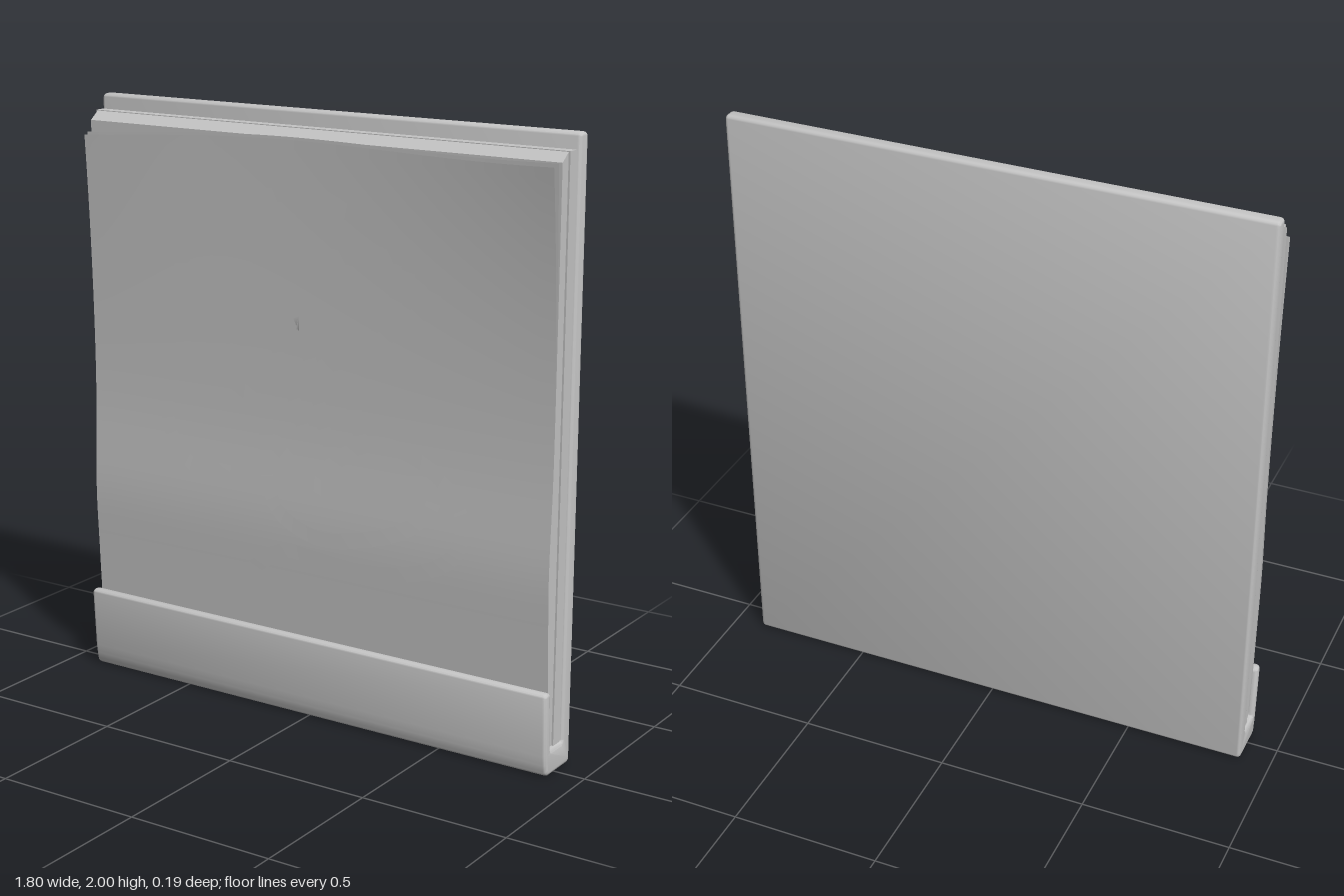
import * as THREE from 'three';
import { toCreasedNormals } from 'three/addons/utils/BufferGeometryUtils.js';

const grey = new THREE.MeshStandardMaterial({ color: 0xc4c4c4, side: THREE.DoubleSide });
grey.name = 'plain grey';

// Outline of [z, y, cornerRadius] points with softened corners
function roundedShape(points) {
  const shape = new THREE.Shape();
  const n = points.length;
  points.forEach(([z, y, r], i) => {
    const p = new THREE.Vector2(z, y);
    const toward = (q) => new THREE.Vector2(q[0], q[1]).sub(p).setLength(r).add(p);
    const a = toward(points[(i + n - 1) % n]);
    const b = toward(points[(i + 1) % n]);
    if (i === 0) shape.moveTo(a.x, a.y);
    else shape.lineTo(a.x, a.y);
    if (r > 0) shape.quadraticCurveTo(p.x, p.y, b.x, b.y);
  });
  shape.closePath();
  return shape;
}

// Extrude a side profile across the whole width (x)
function acrossWidth(name, points, width, bevel) {
  const geo = new THREE.ExtrudeGeometry(roundedShape(points), {
    depth: width - 2 * bevel, curveSegments: 5, bevelEnabled: bevel > 0,
    bevelThickness: bevel, bevelSize: bevel, bevelOffset: -bevel, bevelSegments: 3,
  });
  geo.rotateY(-Math.PI / 2);
  geo.translate(width / 2 - bevel, 0, 0);
  const mesh = new THREE.Mesh(toCreasedNormals(geo, 0.6), grey);
  mesh.name = name;
  return mesh;
}

// Paper surface: gentle swell, plus a curl at the top that grows to the corners
const swell = (y) => 0.033 + 0.008 * THREE.MathUtils.smoothstep(y, 0.09, 0.4)
  + 0.013 * Math.exp(-(((y - 0.65) / 0.22) ** 2));
function paperZ(x, y, curl = 1) {
  const t = Math.max(0, (y - 1.05) / 0.87);
  return swell(y) + 0.003 * curl + curl * t * t * (0.016 + 0.032 * x * x + 0.011 * x);
}
const paperTop = (x) => 1.905 + 0.015 * Math.cos(3.2 * (x + 0.2)) + 0.025 * x;

function sheet(name, curl, extra) {
  const bottom = 0.1;
  const geo = new THREE.PlaneGeometry(1.768, 1, 32, 64);
  const pos = geo.attributes.position;
  for (let i = 0; i < pos.count; i++) {
    const x = pos.getX(i);
    const y = bottom + (pos.getY(i) + 0.5) * (paperTop(x) + extra - bottom);
    pos.setXYZ(i, x, y, paperZ(x, y, curl));
  }
  geo.computeVertexNormals();
  const mesh = new THREE.Mesh(geo, grey);
  mesh.name = name;
  return mesh;
}

// Flat pen stroke lying on the front sheet
function stroke(points, half = 0.026) {
  const curve = new THREE.CatmullRomCurve3(
    points.map(([x, y]) => new THREE.Vector3(x, y, 0)), false, 'centripetal');
  const steps = points.length * 8;
  const positions = [];
  const index = [];
  for (let i = 0; i <= steps; i++) {
    const p = curve.getPoint(i / steps);
    const t = curve.getTangent(i / steps);
    const cap = half * (i === 0 || i === steps ? 0.5 : 1);
    for (const s of [-1, 1]) {
      const x = p.x - t.y * s * cap;
      const y = p.y + t.x * s * cap;
      positions.push(x, y, paperZ(x, y) + 0.0015);
    }
    if (i < steps) {
      const a = i * 2;
      index.push(a, a + 2, a + 1, a + 1, a + 2, a + 3);
    }
  }
  const geo = new THREE.BufferGeometry();
  geo.setAttribute('position', new THREE.Float32BufferAttribute(positions, 3));
  geo.setIndex(index);
  geo.computeVertexNormals();
  const mesh = new THREE.Mesh(geo, grey);
  mesh.name = 'penStroke';
  return mesh;
}

export function createModel() {
  const model = new THREE.Group();
  model.name = 'notepad';

  // Back board wrapped under the pad and folded up into a front flap
  model.add(acrossWidth('coverWithFlap', [
    [-0.093, 0, 0.02], [0.06, 0, 0.02], [0.07, 0.06, 0.02], [0.082, 0.28, 0.018],
    [0.044, 0.28, 0.015], [0.036, 0.085, 0.006], [-0.042, 0.085, 0.006],
    [-0.042, 2, 0.018], [-0.093, 2, 0.018],
  ], 1.796, 0.012));

  // Paper block: rear stack and front stack with a sloping top
  model.add(acrossWidth('rearPages',
    [[-0.044, 0.084, 0], [0.002, 0.084, 0], [0.002, 1.95, 0], [-0.036, 1.95, 0], [-0.044, 1.94, 0]],
    1.776, 0));
  const front = [[0, 0.084, 0]];
  for (let i = 0; i <= 20; i++) {
    const y = 0.086 + i * 0.0917;
    front.push([swell(y) - 0.003, y, 0]);
  }
  front.push([0, 1.949, 0]);
  model.add(acrossWidth('frontPages', front, 1.764, 0));

  // Loose curling sheets
  model.add(sheet('secondSheet', 0.45, 0.008));
  model.add(sheet('frontSheet', 1, 0));

  // Abstract doodle on the front sheet
  const doodle = new THREE.Group();
  doodle.name = 'doodle';
  const strokes = [
    [[-0.12, 1.26], [-0.25, 1.32], [-0.4, 1.35], [-0.51, 1.41], [-0.49, 1.51], [-0.39, 1.6],
      [-0.15, 1.73], [0, 1.755], [0.1, 1.73], [0.24, 1.655], [0.38, 1.59], [0.465, 1.54],
      [0.45, 1.46], [0.33, 1.36], [0.2, 1.27], [0.03, 1.19]],
    [[-0.31, 1.16], [-0.28, 1.25], [-0.28, 1.36], [-0.25, 1.5], [-0.22, 1.57], [-0.1, 1.54],
      [0.1, 1.56], [0.37, 1.575], [0.27, 1.36], [0.2, 1.2], [0.17, 1.1], [0.2, 0.97]],
    [[-0.15, 1.01], [-0.38, 1.15], [-0.48, 1.19], [-0.55, 1.15], [-0.58, 1.05], [-0.56, 0.9],
      [-0.49, 0.81], [-0.4, 0.78], [-0.34, 0.8], [-0.34, 0.85], [-0.4, 0.86], [-0.44, 0.84]],
    [[-0.12, 1.0], [-0.09, 1.2], [-0.04, 1.33], [0, 1.22], [0.07, 0.94]],
    [[-0.13, 1.26], [-0.1, 1.17], [-0.05, 1.05], [-0.01, 0.95]],
    [[-0.17, 1.02], [-0.17, 0.85], [-0.12, 0.7], [0.03, 0.63], [0.2, 0.65], [0.38, 0.72],
      [0.47, 0.82], [0.45, 0.87], [0.3, 0.84], [0.1, 0.79], [-0.05, 0.85], [-0.15, 0.94]],
    [[0.06, 0.86], [0.22, 0.97], [0.38, 0.96], [0.52, 0.87], [0.58, 0.77], [0.55, 0.66],
      [0.42, 0.58], [0.2, 0.545], [0, 0.56], [-0.1, 0.56], [-0.27, 0.44]],
  ];
  strokes.forEach((points) => doodle.add(stroke(points)));
  model.add(doodle);
  return model;
}
